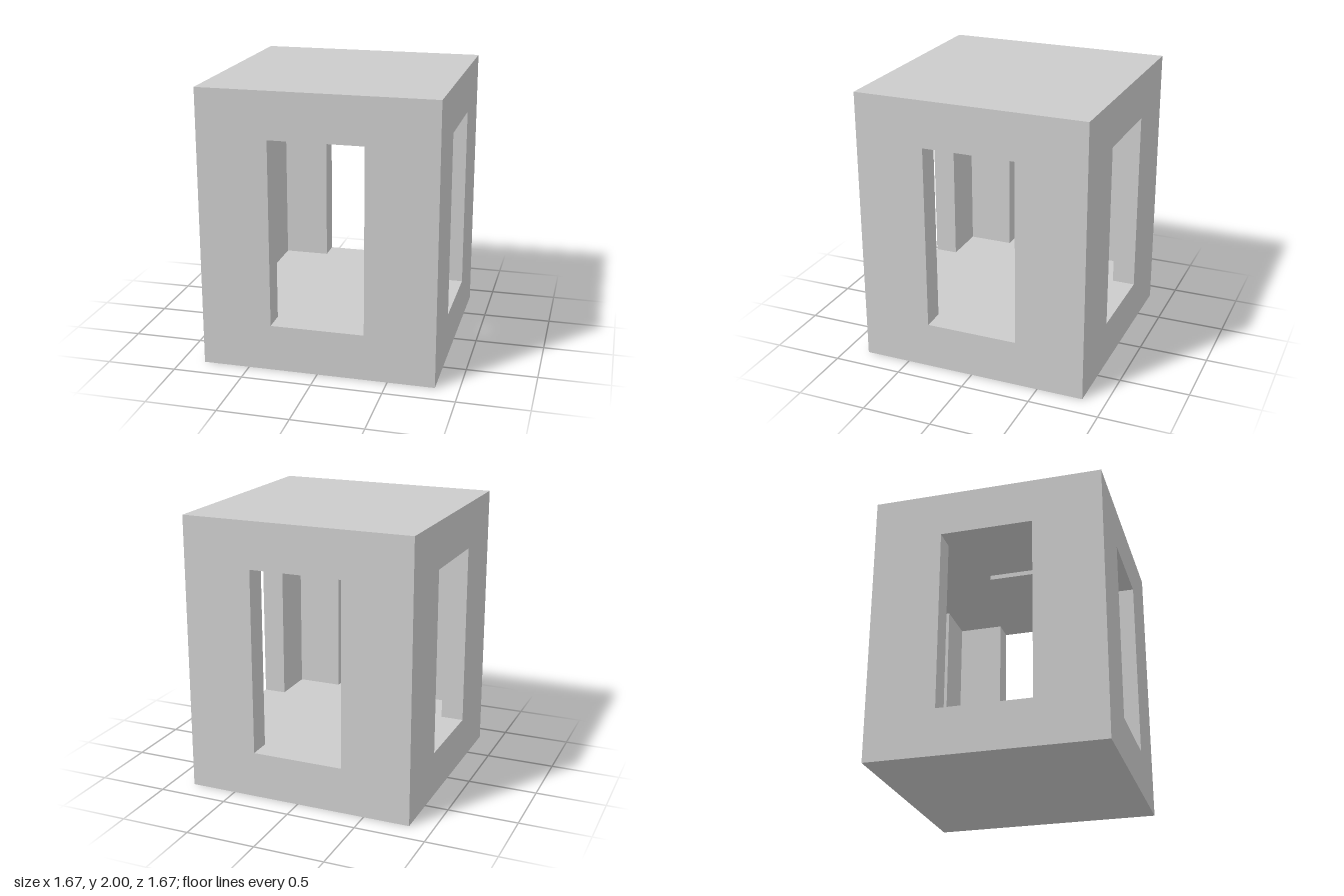
import * as THREE from 'three';

const OUT = 5 / 6;      // half width outside
const IN = 4 / 6;       // half width of the room
const WIN = 2 / 6;      // half width of a window
const SILL = 1 / 3, HEAD = 5 / 3, TOP = 2;

const material = new THREE.MeshStandardMaterial({ color: 0xcccccc, flatShading: true });

function add(parent, name, geometry) {
  const mesh = new THREE.Mesh(geometry, material);
  mesh.name = name;
  parent.add(mesh);
  return mesh;
}

function rectangle(Type, x, y0, y1) {
  return new Type([[-x, y0], [x, y0], [x, y1], [-x, y1]].map(([a, b]) => new THREE.Vector2(a, b)));
}

// Room floor plan: a square reaching out through the four windows
function roomPlan() {
  const arm = [[IN, -WIN], [OUT, -WIN], [OUT, WIN], [IN, WIN], [IN, IN]];
  const points = [];
  for (let k = 0; k < 4; k++) {
    for (const p of arm) points.push(new THREE.Vector2(...p).rotateAround(new THREE.Vector2(), k * Math.PI / 2));
  }
  return new THREE.ShapeGeometry(new THREE.Shape(points));
}

// One side: outer face with its window, window jambs and inner wall faces
function createSide() {
  const side = new THREE.Group();
  const face = rectangle(THREE.Shape, OUT, 0, TOP);
  face.holes.push(rectangle(THREE.Path, WIN, SILL, HEAD));
  add(side, 'outerWall', new THREE.ShapeGeometry(face).translate(0, 0, OUT));

  const height = HEAD - SILL, middle = (HEAD + SILL) / 2;
  for (const s of [-1, 1]) {
    add(side, 'windowJamb', new THREE.PlaneGeometry(OUT - IN, height)
      .rotateY(-s * Math.PI / 2).translate(s * WIN, middle, (OUT + IN) / 2));
    add(side, 'innerWall', new THREE.PlaneGeometry(IN - WIN, height)
      .rotateY(Math.PI).translate(s * (IN + WIN) / 2, middle, IN));
  }
  return side;
}

export function createModel() {
  const model = new THREE.Group();
  model.name = 'windowedBox';

  // Four equal walls
  ['front', 'left', 'back', 'right'].forEach((name, k) => {
    const side = createSide();
    side.name = name + 'Wall';
    side.rotation.y = k * Math.PI / 2;
    model.add(side);
  });

  // Roof and base, with the room floor and ceiling between them
  const square = () => new THREE.PlaneGeometry(2 * OUT, 2 * OUT);
  add(model, 'roof', square().rotateX(-Math.PI / 2).translate(0, TOP, 0));
  add(model, 'base', square().rotateX(Math.PI / 2));
  add(model, 'floor', roomPlan().rotateX(-Math.PI / 2).translate(0, SILL, 0));
  add(model, 'ceiling', roomPlan().rotateX(Math.PI / 2).translate(0, HEAD, 0));

  // Shallow square fitting under the ceiling
  add(model, 'ceilingPlate', new THREE.BoxGeometry(1 / 3, 0.034, 1 / 3).translate(0, HEAD - 0.017, 0));

  return model;
}
